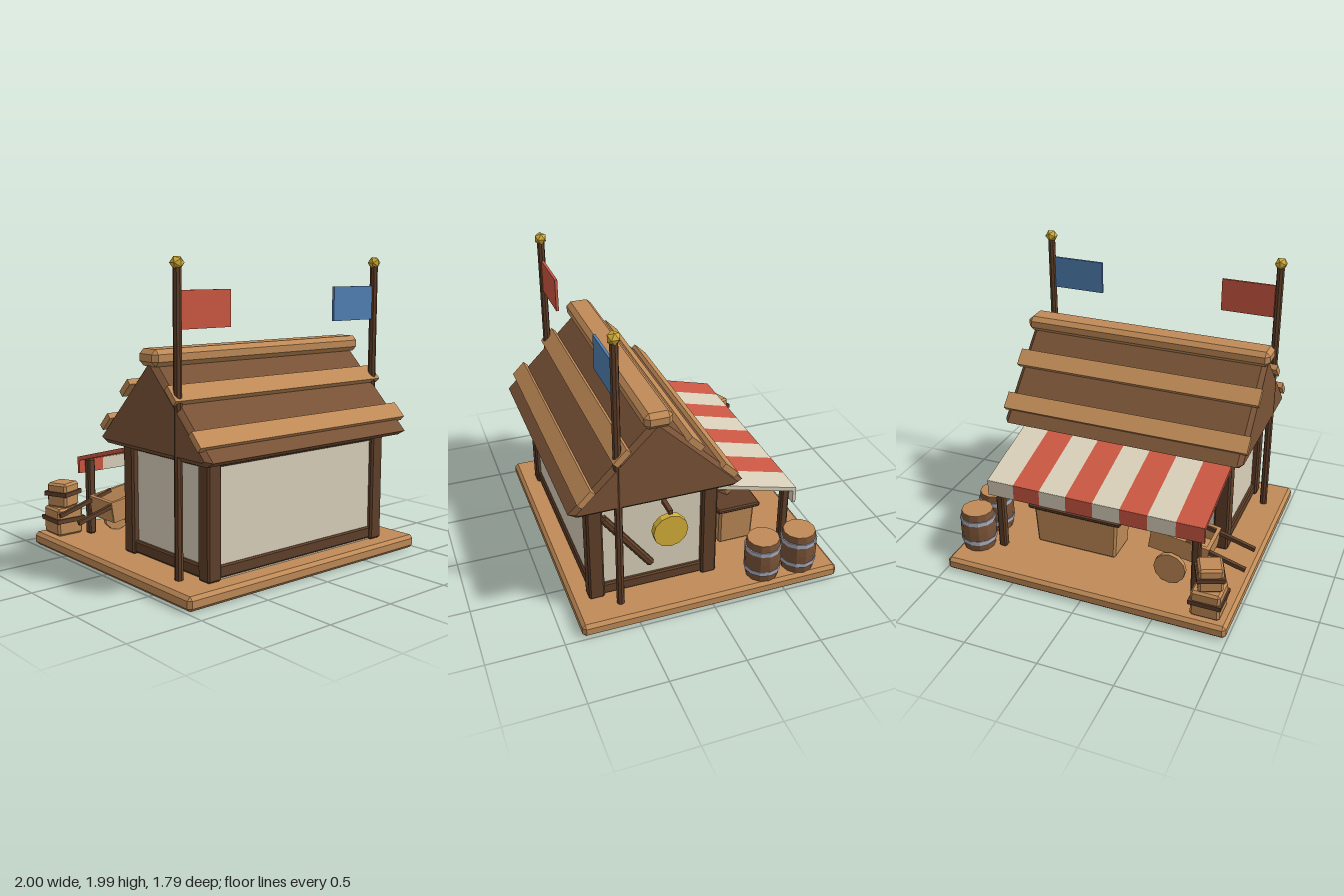
import * as THREE from 'three';
import { ConvexGeometry } from 'three/addons/geometries/ConvexGeometry.js';

const mat = (name, color) => {
  const m = new THREE.MeshStandardMaterial({ color });
  m.name = name;
  return m;
};

export function createModel() {
  const root = new THREE.Group();
  root.name = 'marketHouse';
  const lightWood = mat('lightWood', 0xc08b57);
  const roofWood = mat('roofWood', 0x7a5337);
  const darkWood = mat('darkWood', 0x5f3f29);
  const plaster = mat('plaster', 0xd9d0ba);
  const red = mat('redCloth', 0xcb5743);
  const blue = mat('blueCloth', 0x5080b4);
  const gold = mat('gold', 0xd4af37);
  const metal = mat('metal', 0xa9aebf);

  function add(name, geometry, material, x = 0, y = 0, z = 0, parent = root) {
    const mesh = new THREE.Mesh(geometry, material);
    mesh.name = name;
    mesh.position.set(x, y, z);
    parent.add(mesh);
    return mesh;
  }
  const box = (w, h, d) => new THREE.BoxGeometry(w, h, d);
  // Box with flat chamfered edges
  function chamfer(w, h, d, c = 0.01) {
    const pts = [];
    for (const sx of [-1, 1]) for (const sy of [-1, 1]) for (const sz of [-1, 1]) {
      for (let k = 0; k < 3; k++) {
        pts.push(new THREE.Vector3(
          sx * (w / 2 - (k === 0 ? 0 : c)),
          sy * (h / 2 - (k === 1 ? 0 : c)),
          sz * (d / 2 - (k === 2 ? 0 : c))));
      }
    }
    return new ConvexGeometry(pts);
  }
  function flat(geometry) {
    const g = geometry.toNonIndexed();
    g.computeVertexNormals();
    return g;
  }
  const drum = (rt, rb, h, n) => flat(new THREE.CylinderGeometry(rt, rb, h, n));

  // Ground platform
  add('platform', chamfer(1.98, 0.09, 1.77, 0.022), lightWood, 0, 0.045, -0.005);

  // Timber-framed house
  const midZ = 0.335;
  add('plasterWalls', box(1.44, 0.73, 0.81), plaster, 0, 0.455, midZ);
  for (const x of [-0.71, 0.71]) {
    for (const z of [-0.048, 0.718]) {
      add('cornerPost', chamfer(0.104, 0.73, 0.104, 0.012), darkWood, x, 0.455, z);
    }
    add('sideSill', chamfer(0.07, 0.08, 0.7), darkWood, x, 0.14, midZ);
    add('sideTopBeam', chamfer(0.07, 0.06, 0.7), darkWood, x, 0.805, midZ);
  }
  for (const z of [-0.048, 0.718]) {
    add('longSill', chamfer(1.36, 0.08, 0.07), darkWood, 0, 0.14, z);
    add('longTopBeam', chamfer(1.36, 0.06, 0.07), darkWood, 0, 0.805, z);
  }
  add('diagonalBrace', chamfer(0.05, 0.55, 0.05, 0.014), darkWood, 0.735, 0.48, 0.505).rotation.x = 0.636;

  // Serving hatch in the back wall
  add('hatch', box(0.6, 0.28, 0.04), darkWood, 0.2, 0.43, -0.085);
  add('hatchSill', box(0.64, 0.03, 0.05), lightWood, 0.2, 0.285, -0.085);

  // Solid gable roof with bevelled ends
  const gable = new THREE.Shape([
    [-0.5, 0.84], [0.5, 0.84], [0.522, 0.85], [0, 1.36], [-0.522, 0.85],
  ].map(([a, b]) => new THREE.Vector2(a, b)));
  const roofGeo = new THREE.ExtrudeGeometry(gable, {
    depth: 1.66, bevelEnabled: true, bevelSegments: 1, bevelSize: 0.03, bevelThickness: 0.032,
  });
  roofGeo.translate(0, 0, -0.83).rotateY(Math.PI / 2);
  add('roof', roofGeo, roofWood, 0, 0, midZ);
  add('ridgeBeam', chamfer(1.77, 0.105, 0.18, 0.03), lightWood, 0, 1.398, midZ);
  for (const s of [-1, 1]) {
    for (const [d, y] of [[0.458, 0.957], [0.232, 1.195]]) {
      add('roofPlank', box(1.76, 0.042, 0.12), lightWood, 0, y, midZ + s * d).rotation.x = s * Math.PI / 4;
    }
  }

  // Flag poles with finials
  for (const s of [-1, 1]) {
    add('flagPole', drum(0.026, 0.026, 1.85, 8), darkWood, s * 0.84, 1.01, 0.588);
    add('poleFinial', new THREE.IcosahedronGeometry(0.044, 0), gold, s * 0.84, 1.955, 0.588);
    add('flag', box(0.37, 0.225, 0.018), s < 0 ? red : blue, s * 0.63, 1.688, 0.588);
  }

  // Round hanging sign on its bracket
  add('signBracket', box(0.16, 0.028, 0.028), darkWood, 0.775, 0.72, 0.255);
  add('roundSign', drum(0.115, 0.115, 0.045, 12), gold, 0.838, 0.578, 0.255).rotation.z = Math.PI / 2;

  // Striped awning with a hanging edge
  const stripe = 1.53 / 8;
  for (let i = 0; i < 8; i++) {
    const x = -0.765 + stripe * (i + 0.5);
    const cloth = i % 2 ? plaster : red;
    add('awningStripe', box(stripe, 0.028, 0.575), cloth, x, 0.69, -0.375).rotation.x = -0.256;
    add('awningEdge', box(stripe, 0.11, 0.022), cloth, x, 0.573, -0.646);
  }
  for (const x of [-0.7, 0.7]) {
    add('awningPost', chamfer(0.055, 0.53, 0.055), darkWood, x, 0.355, -0.603);
  }

  // Counter with flared sides and goods on top
  const body = chamfer(0.6, 0.29, 0.25, 0.015);
  const p = body.attributes.position;
  for (let i = 0; i < p.count; i++) {
    const k = 1 + p.getY(i) * 0.2;
    p.setXYZ(i, p.getX(i) * k, p.getY(i), p.getZ(i) * k);
  }
  body.computeVertexNormals();
  add('counterBody', body, lightWood, 0.21, 0.235, -0.355);
  add('counterTop', chamfer(0.68, 0.035, 0.31), darkWood, 0.21, 0.388, -0.355);
  add('goods', new THREE.IcosahedronGeometry(0.072, 0), lightWood, 0.36, 0.47, -0.33);

  // Hand cart
  const cart = new THREE.Group();
  cart.name = 'handCart';
  cart.position.set(-0.55, 0.34, -0.39);
  cart.rotation.z = 0.15;
  root.add(cart);
  add('cartFloor', box(0.4, 0.03, 0.26), lightWood, 0, -0.05, 0, cart);
  for (const s of [-1, 1]) {
    add('cartSide', box(0.4, 0.14, 0.025), lightWood, 0, 0, s * 0.125, cart);
    add('cartEnd', box(0.025, 0.14, 0.26), lightWood, s * 0.19, 0, 0, cart);
    add('cartHandle', box(0.42, 0.026, 0.026), darkWood, -0.798, 0.338, -0.392 + s * 0.118).rotation.z = 0.28;
    add('cartWheel', drum(0.11, 0.11, 0.03, 12), lightWood, -0.51, 0.2, -0.39 + s * 0.175).rotation.x = Math.PI / 2;
  }
  add('cartAxle', box(0.03, 0.03, 0.38), darkWood, -0.51, 0.2, -0.39);

  // Stacked crates
  for (const [size, h, y, turn] of [[0.195, 0.19, 0.185, 0], [0.16, 0.17, 0.365, 0.4]]) {
    const crate = new THREE.Group();
    crate.name = 'crate';
    crate.position.set(-0.835, y, -0.745);
    crate.rotation.y = turn;
    root.add(crate);
    add('crateBox', chamfer(size, h, size, 0.015), lightWood, 0, 0, 0, crate);
    add('crateBand', box(size + 0.022, 0.03, size + 0.022), darkWood, 0, 0.012, 0, crate);
  }

  // Barrels with lids and hoops
  const staves = flat(new THREE.LatheGeometry([
    [0.108, 0], [0.119, 0.08], [0.121, 0.14], [0.119, 0.2], [0.108, 0.283],
  ].map(([r, y]) => new THREE.Vector2(r, y)), 12));
  for (const z of [-0.645, -0.385]) {
    const barrel = new THREE.Group();
    barrel.name = 'barrel';
    barrel.position.set(0.87, 0.09, z);
    root.add(barrel);
    add('barrelStaves', staves, roofWood, 0, 0, 0, barrel);
    add('barrelLid', drum(0.107, 0.107, 0.02, 12), lightWood, 0, 0.275, 0, barrel);
    for (const y of [0.068, 0.222]) {
      add('barrelHoop', drum(0.122, 0.122, 0.03, 12), metal, 0, y, 0, barrel);
    }
  }
  return root;
}
